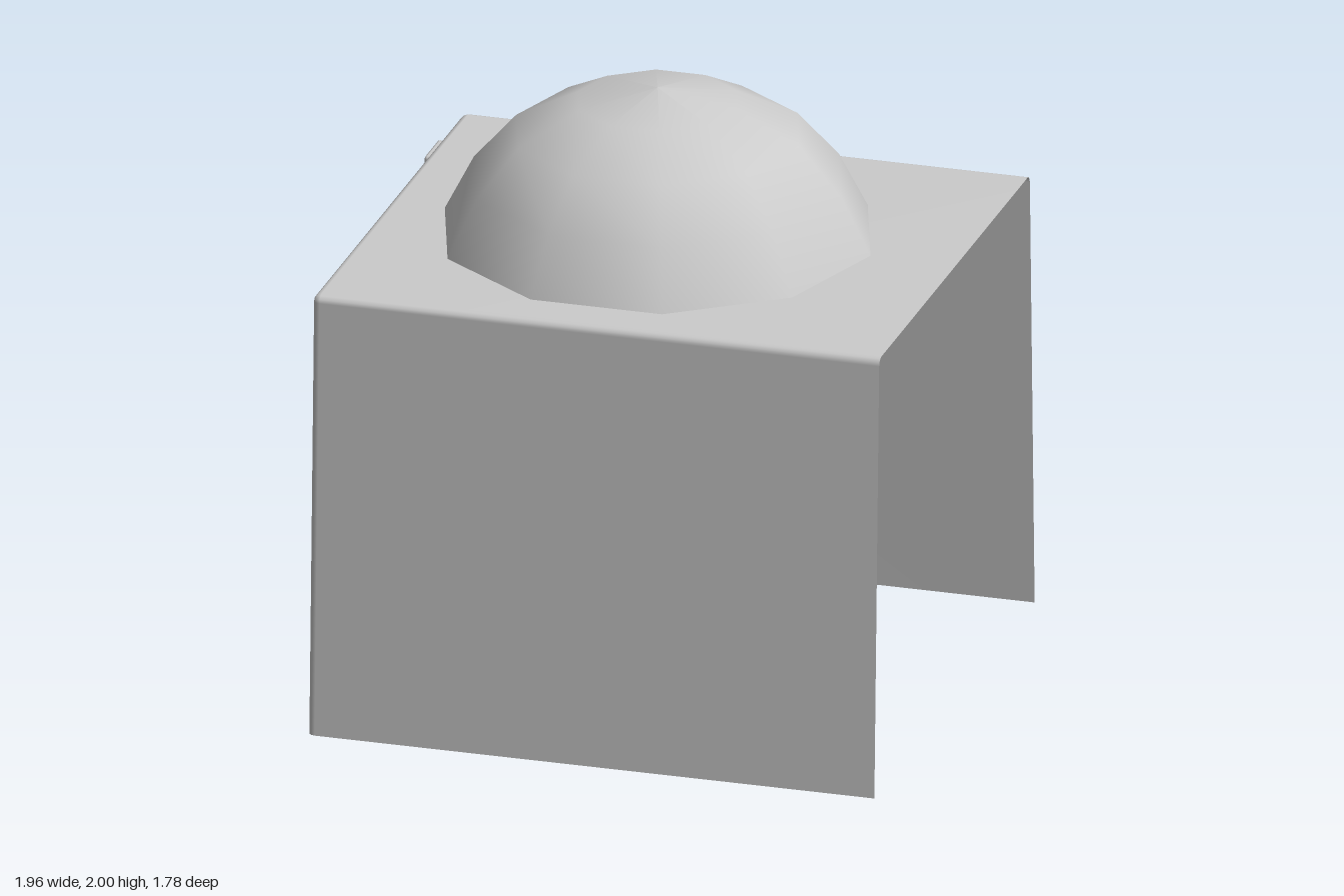
import * as THREE from 'three';
import { RoundedBoxGeometry } from 'three/addons/geometries/RoundedBoxGeometry.js';

const smooth = new THREE.MeshStandardMaterial({ color: 0xcccccc, side: THREE.DoubleSide });
const flat = new THREE.MeshStandardMaterial({ color: 0xcccccc, side: THREE.DoubleSide, flatShading: true });

// Skin between rows of points that all have the same length
function loft(rows) {
  const n = rows[0].length, index = [];
  for (let j = 0; j < rows.length - 1; j++) {
    for (let i = 0; i < n - 1; i++) {
      const a = j * n + i, b = a + 1, c = a + n, d = c + 1;
      index.push(a, b, c, b, d, c);
    }
  }
  const g = new THREE.BufferGeometry();
  g.setAttribute('position', new THREE.Float32BufferAttribute(rows.flat(2), 3));
  g.setIndex(index);
  g.computeVertexNormals();
  return g;
}

// Flat outline in (z, y), turned to face -x
function panel(points, depth) {
  const shape = new THREE.Shape(points.map(([z, y]) => new THREE.Vector2(z, y)));
  const g = depth
    ? new THREE.ExtrudeGeometry(shape, { depth, bevelEnabled: false })
    : new THREE.ShapeGeometry(shape);
  return g.rotateY(-Math.PI / 2);
}

export function createModel() {
  const model = new THREE.Group();
  const add = (name, geometry, material = flat, x = 0, y = 0, z = 0) => {
    const mesh = new THREE.Mesh(geometry, material);
    mesh.name = name;
    mesh.position.set(x, y, z);
    model.add(mesh);
    return mesh;
  };

  // Tapered walls and roof with rounded edges, open at +x and below
  const R = 0.025, H = 1.5, STEPS = 3;
  const section = (x, inset) => {
    const half = [[x, 0, 0.888 - inset]];
    for (let k = 0; k <= STEPS; k++) {
      const a = (k / STEPS) * Math.PI / 2, r = R - inset;
      half.push([x, H - R + r * Math.sin(a), 0.81 + r * Math.cos(a)]);
    }
    return [...half, ...half.map(([px, y, z]) => [px, y, -z]).reverse()];
  };
  const rows = [section(0.98, 0)];
  for (let k = 0; k <= STEPS; k++) {
    const a = (k / STEPS) * Math.PI / 2;
    rows.push(section(-0.9 - R * Math.sin(a), R * (1 - Math.cos(a))));
  }
  add('wallsAndRoof', loft(rows), smooth);

  // Entrance wall with the doorway cut out
  add('entranceWall', panel([
    [-0.863, 0], [-0.52, 0], [-0.445, 1.23], [0.445, 1.23],
    [0.52, 0], [0.863, 0], [0.81, H - R], [-0.81, H - R],
  ]).translate(-0.925, 0, 0));

  // Ten-sided dome, its rim sunk a little through the roof
  const profile = [[0.724, 1.475], [0.715, 1.5], [0.617, 1.69], [0.475, 1.85], [0.268, 1.955], [0, 2]]
    .map(([r, y]) => new THREE.Vector2(r, y));
  add('dome', new THREE.LatheGeometry(profile, 10, Math.PI / 2), smooth, -0.022, 0, -0.016);

  // Bevelled door frame: [half width at foot, half width at top, top, x]
  const frame = [
    [0.545, 0.465, 1.25, -0.92], [0.545, 0.465, 1.25, -0.962], [0.525, 0.447, 1.23, -0.98],
    [0.424, 0.379, 1.174, -0.98], [0.41, 0.365, 1.16, -0.966], [0.41, 0.365, 1.16, -0.925],
  ].map(([foot, top, y, x]) => [[x, 0.015, foot], [x, y, top], [x, y, -top], [x, 0.015, -foot]]);
  add('doorFrame', loft(frame));

  // Door of four upright planks, the outer two following the taper
  const door = new THREE.Group();
  door.name = 'door';
  model.add(door);
  for (let i = 0; i < 4; i++) {
    const z0 = -0.41 + i * 0.205 + 0.002, z1 = z0 + 0.201;
    const clampTop = (z) => THREE.MathUtils.clamp(z, -0.365, 0.365);
    const plank = new THREE.Mesh(
      panel([[z0, 0], [z1, 0], [clampTop(z1), 1.16], [clampTop(z0), 1.16]], 0.015), flat);
    plank.name = 'doorPlank';
    plank.position.x = -0.92;
    door.add(plank);
  }

  // Ring handle on a small pin
  add('handleRing', new THREE.TorusGeometry(0.045, 0.009, 6, 16).rotateY(Math.PI / 2), smooth, -0.95, 0.53, 0.26);
  add('handlePin', new THREE.CylinderGeometry(0.013, 0.013, 0.05, 8).rotateZ(Math.PI / 2), smooth, -0.938, 0.575, 0.26);

  // Small ledges on the entrance wall and the back wall
  add('entranceLedge', new RoundedBoxGeometry(0.055, 0.048, 0.16, 1, 0.01), smooth, -0.948, 1.415, -0.65);
  add('backLedge', new RoundedBoxGeometry(0.165, 0.043, 0.055, 1, 0.008), smooth, -0.75, 1.158, -0.838);

  return model;
}
